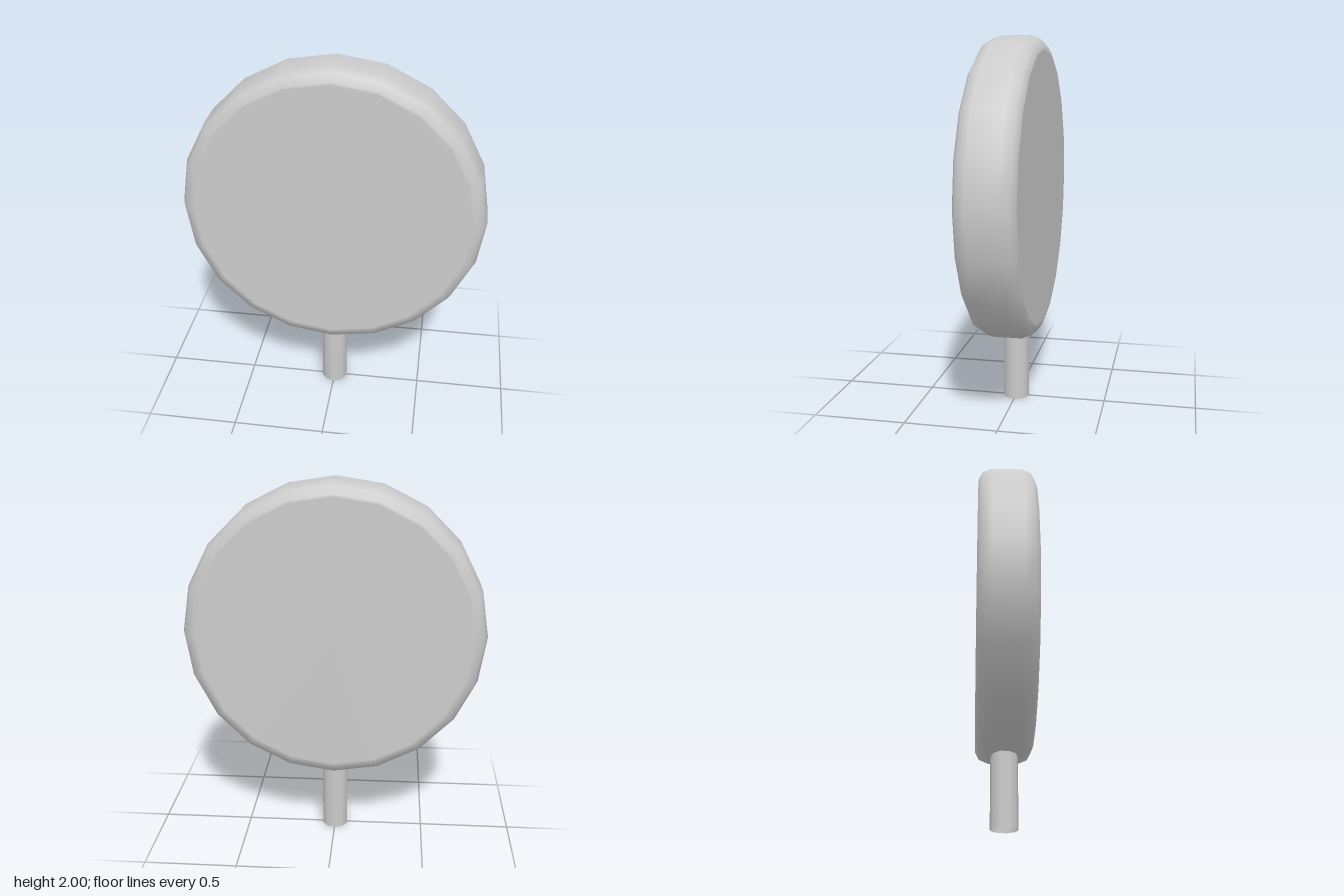
import * as THREE from 'three';

export function createModel() {
  const group = new THREE.Group();
  const material = new THREE.MeshStandardMaterial({ color: 0xcccccc });

  // Round panel: a 20-sided disc with softened rims, turned to face +z
  const half = [[0.81, 0.08], [0.79, 0.13], [0.75, 0.152], [0.735, 0.152], [0, 0.152]];
  const profile = [
    ...half.map(([r, d]) => new THREE.Vector2(r, -d)).reverse(),
    ...half.map(([r, d]) => new THREE.Vector2(r, d)),
  ];
  const panel = new THREE.Mesh(new THREE.LatheGeometry(profile, 20), material);
  panel.name = 'roundPanel';
  panel.rotation.x = Math.PI / 2;
  panel.position.y = 1.19;
  group.add(panel);

  // Post: an open tube reaching just inside the panel
  const postHeight = 0.42;
  const post = new THREE.Mesh(
    new THREE.CylinderGeometry(0.072, 0.072, postHeight, 10, 1, true),
    new THREE.MeshStandardMaterial({ color: 0xcccccc, side: THREE.DoubleSide })
  );
  post.name = 'post';
  post.position.y = postHeight / 2;
  group.add(post);

  return group;
}
